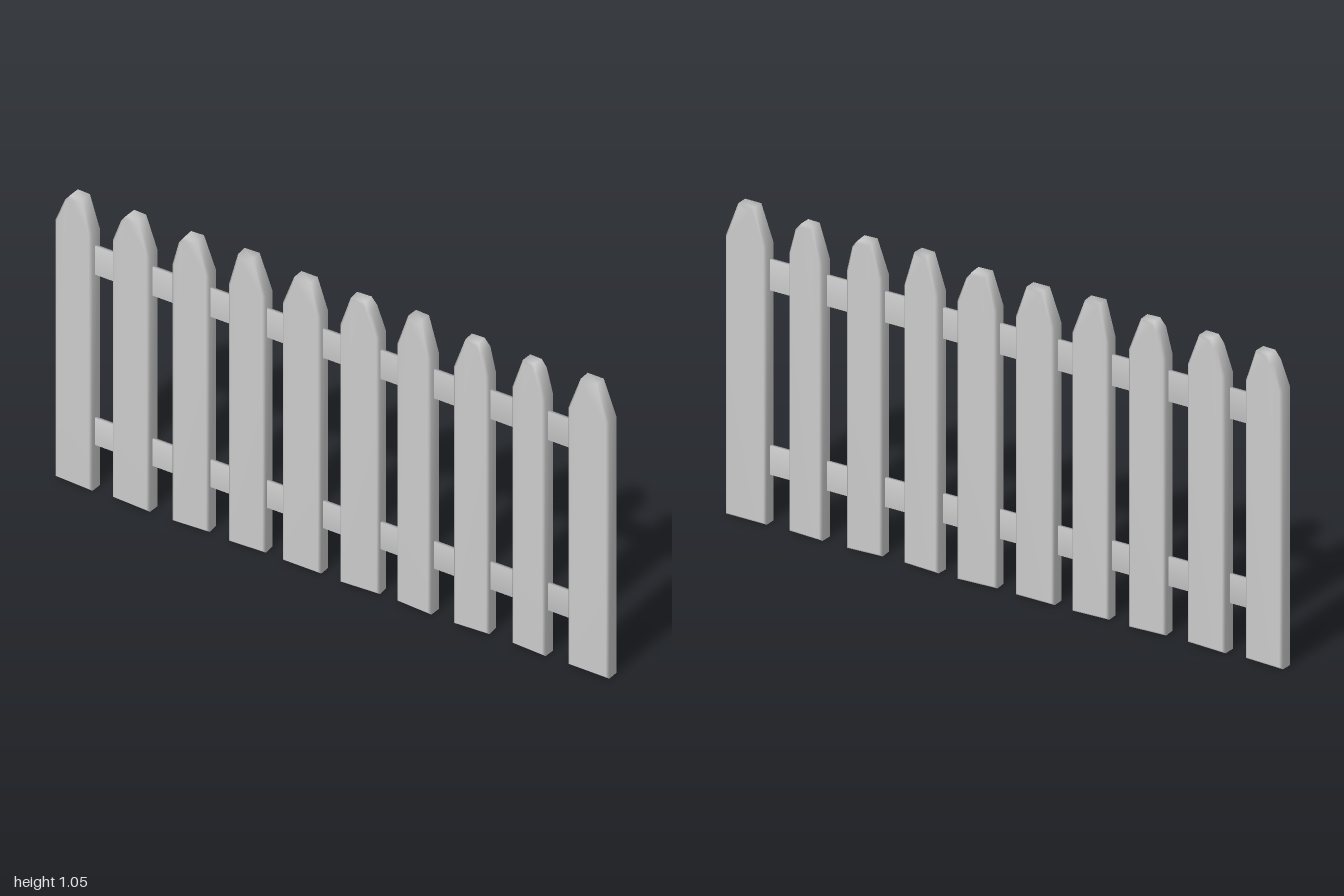
import * as THREE from 'three';
import { mergeVertices } from 'three/addons/utils/BufferGeometryUtils.js';

const material = new THREE.MeshStandardMaterial({ color: 0xcccccc });

// Weld corners so the shading runs softly around every edge
function soften(geometry) {
  geometry.deleteAttribute('normal');
  geometry.deleteAttribute('uv');
  const welded = mergeVertices(geometry, 1e-4);
  welded.computeVertexNormals();
  return welded;
}

// One board: left, right, flat tip from/to, tip height, yaw,
// and the side (-1 left, 1 right, 0 none) on which the tip has an extra cut
const PICKETS = [
  [-1.0, -0.863, -0.945, -0.9, 1.04, -0.05, -1],
  [-0.794, -0.655, -0.742, -0.697, 1.04, -0.05, -1],
  [-0.575, -0.447, -0.533, -0.488, 1.04, 0.06, -1],
  [-0.372, -0.243, -0.34, -0.287, 1.05, 0.05, 0],
  [-0.179, -0.04, -0.137, -0.078, 1.04, 0, 0],
  [0.03, 0.168, 0.067, 0.117, 1.04, 0.06, 1],
  [0.233, 0.361, 0.275, 0.324, 1.05, -0.06, 0],
  [0.441, 0.564, 0.48, 0.525, 1.04, 0.06, 1],
  [0.65, 0.773, 0.688, 0.73, 1.04, -0.05, 1],
  [0.853, 1.0, 0.897, 0.955, 1.05, 0, 0],
];

const BEVEL = 0.008;
const THICKNESS = 0.054;

function makePicket([left, right, tipL, tipR, top, yaw, cut]) {
  const c = (left + right) / 2;
  const points = [[left, 0], [right, 0], [right, 0.93]];
  if (cut === 1) points.push([tipR + 0.02, top - 0.025]);
  points.push([tipR, top], [tipL, top]);
  if (cut === -1) points.push([tipL - 0.02, top - 0.025]);
  points.push([left, 0.93]);

  const shape = new THREE.Shape(points.map(([x, y]) => new THREE.Vector2(x - c, y)));
  const geometry = new THREE.ExtrudeGeometry(shape, {
    depth: THICKNESS - 2 * BEVEL,
    bevelEnabled: true,
    bevelSize: BEVEL,
    bevelThickness: BEVEL,
    bevelOffset: -BEVEL,
    bevelSegments: 1,
  });
  geometry.translate(0, 0, BEVEL - THICKNESS / 2);
  const picket = new THREE.Mesh(soften(geometry), material);
  picket.position.x = c;
  picket.rotation.y = yaw;
  return picket;
}

export function createModel() {
  const fence = new THREE.Group();
  fence.name = 'picketFence';

  // Upright boards with pointed tips
  PICKETS.forEach((spec, i) => {
    const picket = makePicket(spec);
    picket.name = `picket${i + 1}`;
    fence.add(picket);
  });

  // Two thin rails joining the boards
  for (const [name, low, high] of [['lowerRail', 0.16, 0.257], ['upperRail', 0.777, 0.88]]) {
    const rail = new THREE.Mesh(soften(new THREE.BoxGeometry(1.78, high - low, 0.01)), material);
    rail.name = name;
    rail.position.set(0, (low + high) / 2, 0.005);
    fence.add(rail);
  }
  return fence;
}
